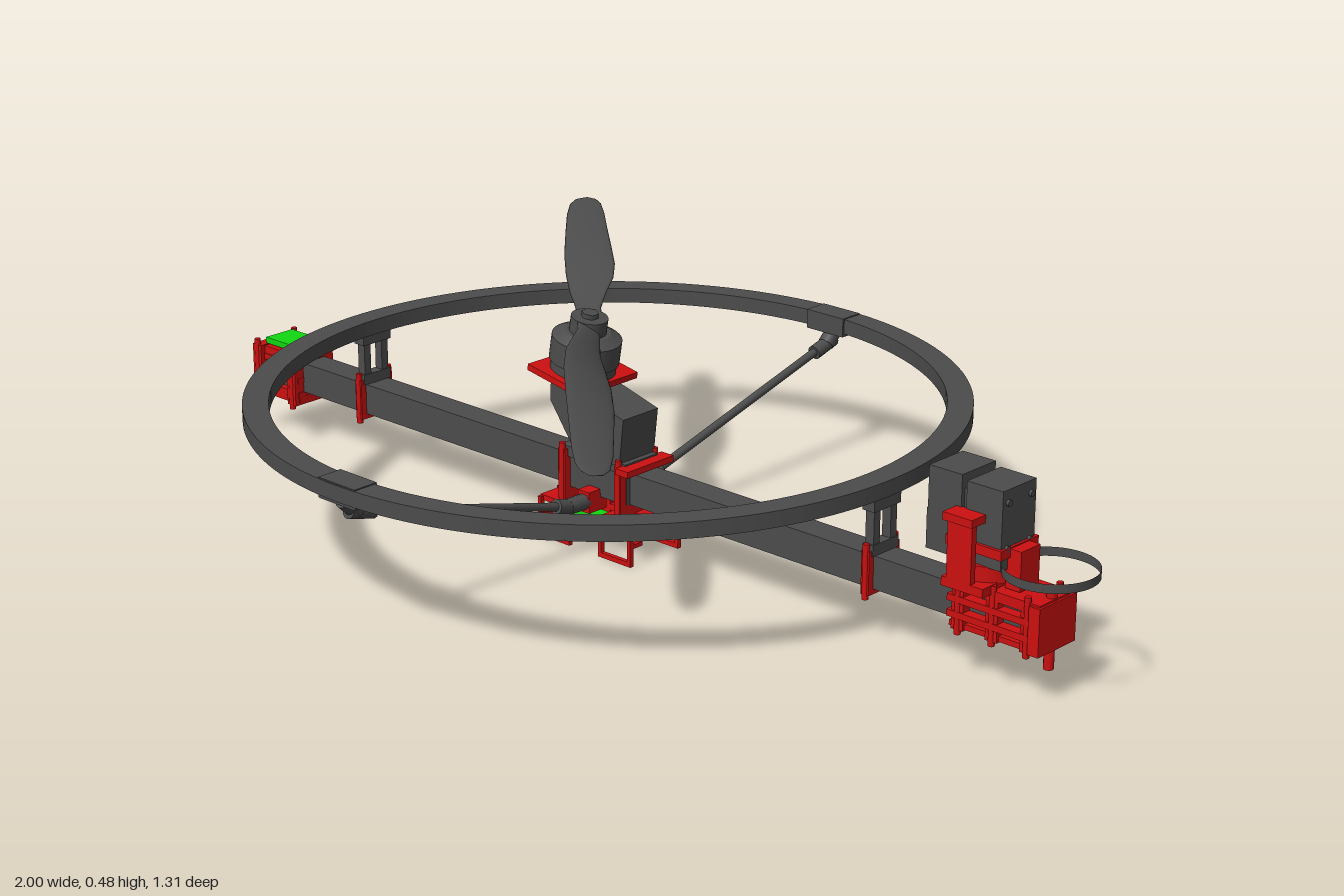
import * as THREE from 'three';

const mat = (color) => new THREE.MeshStandardMaterial({ color, side: THREE.DoubleSide });
const DARK = mat(0x4c4c4c), RED = mat(0xcc1010), GREEN = mat(0x10d810);

function add(parent, name, geometry, material, x = 0, y = 0, z = 0) {
  const m = new THREE.Mesh(geometry, material);
  m.name = name;
  m.position.set(x, y, z);
  parent.add(m);
  return m;
}
// Box given by its limits on each axis
function box(parent, name, material, [x0, x1], [y0, y1], [z0, z1]) {
  return add(parent, name, new THREE.BoxGeometry(x1 - x0, y1 - y0, z1 - z0), material,
    (x0 + x1) / 2, (y0 + y1) / 2, (z0 + z1) / 2);
}
const cyl = (r, h, n = 32, r2 = r) => new THREE.CylinderGeometry(r, r2, h, n);
function group(parent, name) {
  const g = new THREE.Group();
  g.name = name;
  parent.add(g);
  return g;
}
// Straight bar between two points
function rod(parent, name, material, a, b, r, n = 12) {
  const p = new THREE.Vector3(...a), q = new THREE.Vector3(...b);
  const m = add(parent, name, cyl(r, p.distanceTo(q), n), material);
  m.position.copy(p).lerp(q, 0.5);
  m.quaternion.setFromUnitVectors(new THREE.Vector3(0, 1, 0), q.sub(p).normalize());
  return m;
}
// Square collar around the beam
function clamp(parent, x, w, y0 = 0.09, y1 = 0.17, hz = 0.04) {
  const g = group(parent, 'beamClamp'), X = [x - w / 2, x + w / 2];
  box(g, 'clampBottom', RED, X, [y0, 0.1], [-hz, hz]);
  box(g, 'clampTop', RED, X, [0.16, y1], [-hz, hz]);
  for (const s of [-1, 1]) {
    box(g, 'clampSide', RED, X, [y0, y1], s > 0 ? [0.028, hz] : [-hz, -0.028]);
    rod(g, 'clampBolt', RED, [x, y0 - 0.008, s * hz * 0.95], [x, y1 + 0.012, s * hz * 0.95], 0.006, 8);
  }
}

// Twisted propeller blade lofted along +x: [radius, chord, sweep, pitch, lift]
function bladeGeometry() {
  const stations = [
    [0.0, 0.05, 0, 0.5, 0], [0.05, 0.05, 0, 0.55, 0], [0.1, 0.064, 0.004, 0.6, 0.003],
    [0.16, 0.086, 0.006, 0.5, 0.004], [0.23, 0.094, 0.004, 0.38, 0.004], [0.32, 0.09, 0, 0.28, 0.003],
    [0.42, 0.08, -0.002, 0.2, 0.001], [0.5, 0.072, -0.003, 0.16, 0], [0.55, 0.06, -0.003, 0.14, 0],
    [0.572, 0.04, -0.002, 0.12, 0], [0.582, 0.008, 0, 0.12, 0]];
  const n = 16, pos = [], idx = [];
  stations.forEach(([r, chord, sweep, pitch, lift], i) => {
    const thick = i < 2 ? 0.016 : Math.min(0.011, chord * 0.12);
    for (let j = 0; j < n; j++) {
      const a = (j / n) * Math.PI * 2;
      const c = Math.cos(a) * chord / 2, t = Math.sin(a) * thick / 2;
      pos.push(r, lift + c * Math.sin(pitch) + t * Math.cos(pitch), sweep + c * Math.cos(pitch) - t * Math.sin(pitch));
      if (i) {
        const k = (j + 1) % n, p = (i - 1) * n, q = i * n;
        idx.push(p + j, p + k, q + j, q + j, p + k, q + k);
      }
    }
  });
  const g = new THREE.BufferGeometry();
  g.setAttribute('position', new THREE.Float32BufferAttribute(pos, 3));
  g.setIndex(idx);
  g.computeVertexNormals();
  return g;
}

export function createModel() {
  const root = new THREE.Group();
  const CX = -0.07;

  // Main beam
  box(root, 'beam', DARK, [-0.985, 0.925], [0.1, 0.16], [-0.028, 0.028]);

  // Guard ring
  const ringShape = new THREE.Shape().absarc(0, 0, 0.653, 0, Math.PI * 2);
  ringShape.holes.push(new THREE.Path().absarc(0, 0, 0.606, 0, Math.PI * 2, true));
  const ring = add(root, 'guardRing',
    new THREE.ExtrudeGeometry(ringShape, { depth: 0.029, bevelEnabled: false, curveSegments: 96 }), DARK, CX, 0.291, 0);
  ring.rotation.x = Math.PI / 2;

  // Ring posts standing on the beam
  for (const x of [-0.7, 0.565]) {
    const post = group(root, 'ringPost');
    for (const z of [-0.022, 0.022])
      box(post, 'postLeg', DARK, [x - 0.009, x + 0.009], [0.16, 0.262], [z - 0.008, z + 0.008]);
    box(post, 'postHead', DARK, [x - 0.013, x + 0.013], [0.24, 0.264], [-0.035, 0.035]);
    box(post, 'postFoot', DARK, [x - 0.011, x + 0.011], [0.16, 0.18], [-0.034, 0.034]);
    clamp(post, x, 0.017);
  }

  // Side struts from the beam to the ring
  for (const s of [-1, 1]) {
    const strut = group(root, 'sideStrut');
    const p = (z, y) => [CX, y, s * z];
    rod(strut, 'strutRod', DARK, p(0.1, 0.095), p(0.61, 0.234), 0.008);
    rod(strut, 'innerSocket', DARK, p(0.095, 0.094), p(0.135, 0.105), 0.014);
    rod(strut, 'innerClevis', DARK, p(0.06, 0.095), p(0.105, 0.096), 0.015);
    rod(strut, 'outerSocket', DARK, p(0.57, 0.222), p(0.625, 0.237), 0.014);
    rod(strut, 'outerClevis', DARK, p(0.605, 0.232), p(0.635, 0.26), 0.016);
    box(strut, 'ringPad', DARK, [CX - 0.045, CX + 0.045], [0.256, 0.293], s > 0 ? [0.6, 0.65] : [-0.65, -0.6]);
    box(strut, 'beamBracket', RED, [CX - 0.014, CX + 0.014], [0.075, 0.115], s > 0 ? [0.02, 0.065] : [-0.065, -0.02]);
  }

  // Central motor mount, tapering down to the beam
  const mount = group(root, 'motorMount');
  const side = new THREE.Shape([[-0.17, 0.305], [-0.075, 0.288], [0.01, 0.265], [0.0, 0.175], [-0.11, 0.175], [-0.172, 0.26]]
    .map(([x, y]) => new THREE.Vector2(x, y)));
  add(mount, 'mountBody', new THREE.ExtrudeGeometry(side, { depth: 0.09, bevelEnabled: false }), DARK, 0, 0, -0.045);
  box(mount, 'mountBase', DARK, [-0.15, 0.012], [0.16, 0.18], [-0.042, 0.042]);
  for (const s of [-1, 1]) {
    box(mount, 'mountCheek', DARK, [-0.15, 0.01], [0.1, 0.165], s > 0 ? [0.028, 0.036] : [-0.036, -0.028]);
    rod(mount, 'mountPin', DARK, [CX, 0.16, s * 0.05], [CX, 0.24, s * 0.05], 0.012);
    box(mount, 'mountTab', DARK, [CX - 0.022, CX + 0.022], [0.222, 0.238], s > 0 ? [0.03, 0.06] : [-0.06, -0.03]);
  }
  for (const x of [-0.14, 0.0]) clamp(mount, x, 0.017, 0.075, 0.175, 0.05);
  box(mount, 'rearBracket', RED, [0.005, 0.035], [0.165, 0.177], [-0.06, 0.06]);

  // Tilted motor and propeller
  const motor = group(root, 'motor');
  motor.position.set(-0.118, 0.405, 0);
  motor.rotation.z = -0.172;
  box(motor, 'motorPlate', RED, [-0.066, 0.066], [-0.1, -0.088], [-0.075, 0.075]);
  add(motor, 'motorBase', cyl(0.06, 0.018), DARK, 0, -0.08, 0);
  add(motor, 'motorBell', cyl(0.064, 0.045), DARK, 0, -0.047, 0);
  add(motor, 'motorCap', cyl(0.042, 0.012, 32, 0.064), DARK, 0, -0.019, 0);
  add(motor, 'propHub', cyl(0.034, 0.03), DARK, 0, 0, 0);
  add(motor, 'propNut', cyl(0.016, 0.02, 6), DARK, 0, 0.014, 0);
  const blade = bladeGeometry();
  for (const turn of [0, Math.PI]) add(motor, 'propBlade', blade, DARK).rotation.y = -Math.PI / 4 + turn;

  // Circuit board and landing frames under the beam
  const under = group(root, 'underCarriage');
  box(under, 'circuitBoard', GREEN, [-0.18, 0.035], [0.052, 0.063], [-0.042, 0.042]);
  box(under, 'boardChip', GREEN, [-0.1, -0.04], [0.042, 0.053], [-0.02, 0.02]);
  box(under, 'boardSpine', RED, [-0.19, 0.05], [0.068, 0.08], [-0.012, 0.012]);
  box(under, 'boardPost', RED, [CX - 0.015, CX + 0.015], [0.045, 0.1], [-0.012, 0.012]);
  for (const x of [-0.145, 0.008]) {
    box(under, 'legCrossbar', RED, [x - 0.04, x + 0.04], [0.068, 0.078], [-0.06, 0.06]);
    for (const s of [-1, 1]) {
      const Z = s > 0 ? [0.058, 0.067] : [-0.067, -0.058];
      for (const e of [-0.036, 0.036]) {
        box(under, 'landingLeg', RED, [x + e - 0.004, x + e + 0.004], [0, 0.076], Z);
        box(under, 'legStub', RED, [x + e - 0.004, x + e + 0.004], [0.034, 0.042], s > 0 ? [0.035, 0.06] : [-0.06, -0.035]);
      }
      box(under, 'landingFoot', RED, [x - 0.04, x + 0.04], [0, 0.009], Z);
    }
  }

  // Left-hand sensor at the -x beam end
  const sensor = group(root, 'endSensor');
  for (const y of [0.084, 0.168]) box(sensor, 'sensorPlate', RED, [-0.995, -0.875], [y - 0.008, y + 0.008], [-0.04, 0.04]);
  for (const x of [-0.988, -0.888]) clamp(sensor, x, 0.024, 0.075, 0.178, 0.05);
  for (const s of [-1, 1]) {
    for (const y of [0.095, 0.125, 0.155])
      box(sensor, 'sensorRail', RED, [-0.995, -0.875], [y - 0.006, y + 0.006], s > 0 ? [0.028, 0.042] : [-0.042, -0.028]);
  }
  box(sensor, 'sensorBoard', GREEN, [-0.978, -0.88], [0.18, 0.192], [-0.034, 0.034]);

  // Servo pod at the +x beam end
  const pod = group(root, 'servoPod');
  for (const x of [0.765, 0.835, 0.905]) clamp(pod, x, 0.024, 0.088, 0.175, 0.045);
  box(pod, 'podTop', RED, [0.745, 0.93], [0.16, 0.178], [-0.045, 0.045]);
  box(pod, 'podBottom', RED, [0.745, 0.93], [0.09, 0.1], [-0.04, 0.04]);
  box(pod, 'endCap', RED, [0.912, 0.934], [0.09, 0.175], [-0.05, 0.05]);
  rod(pod, 'endPin', RED, [0.92, 0.052, 0], [0.92, 0.192, 0], 0.009);
  for (const s of [-1, 1]) {
    for (const y of [0.115, 0.143])
      box(pod, 'podRail', RED, [0.745, 0.93], [y - 0.006, y + 0.006], s > 0 ? [0.028, 0.048] : [-0.048, -0.028]);
    box(pod, 'podArm', RED, [0.76, 0.81], [0.172, 0.3], s > 0 ? [0.06, 0.072] : [-0.072, -0.06]);
    box(pod, 'podEar', RED, [0.755, 0.815], [0.29, 0.304], s > 0 ? [0.04, 0.08] : [-0.08, -0.04]);
  }
  box(pod, 'podBridge', RED, [0.75, 0.835], [0.172, 0.188], [-0.072, 0.072]);
  add(pod, 'podTurntable', cyl(0.055, 0.03, 24), RED, 0.79, 0.2, 0);
  box(pod, 'servoBody', DARK, [0.695, 0.848], [0.214, 0.285], [-0.044, 0.044]);
  box(pod, 'servoRear', DARK, [0.697, 0.765], [0.28, 0.36], [-0.044, 0.044]);
  box(pod, 'servoFront', DARK, [0.775, 0.848], [0.28, 0.352], [-0.044, 0.044]);
  box(pod, 'servoLink', DARK, [0.76, 0.78], [0.28, 0.335], [-0.036, 0.036]);
  box(pod, 'servoBand', RED, [0.74, 0.853], [0.235, 0.252], [-0.05, 0.05]);
  box(pod, 'hoopHolder', RED, [0.845, 0.875], [0.18, 0.25], [-0.025, 0.025]);
  for (const z of [-0.03, 0.03]) for (const y of [0.25, 0.33])
    rod(pod, 'servoScrew', DARK, [0.845, y, z], [0.853, y, z], 0.006, 8);

  // Thin hoop round the beam tip
  add(pod, 'hoop', new THREE.CylinderGeometry(0.08, 0.08, 0.016, 48, 1, true), DARK, 0.917, 0.224, 0);

  return root;
}
